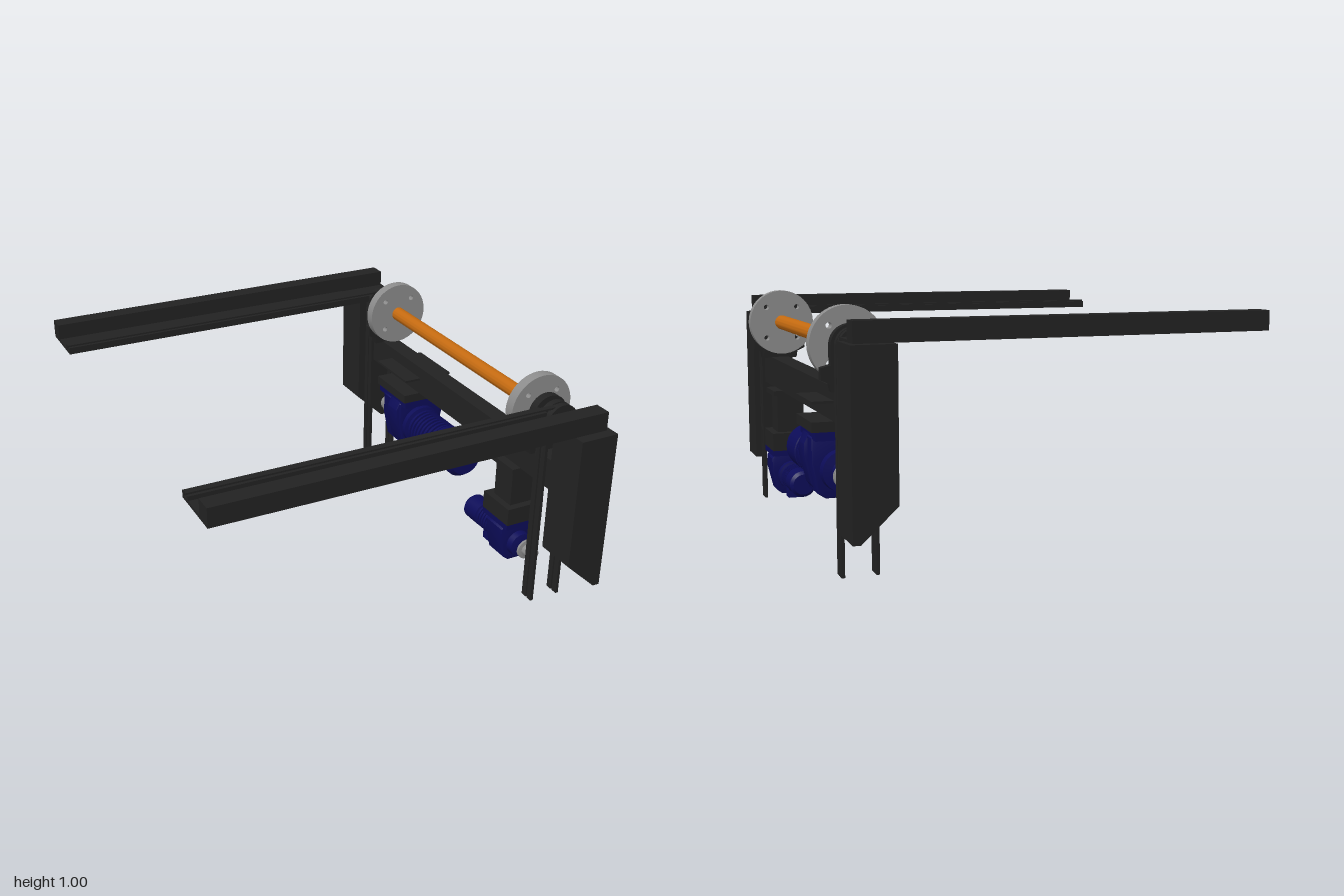
import * as THREE from 'three';
import { toCreasedNormals } from 'three/addons/utils/BufferGeometryUtils.js';

const mat = (color) => new THREE.MeshStandardMaterial({ color, side: THREE.DoubleSide });
const DARK = mat(0x222222), BLUE = mat(0x0c0c58), ORANGE = mat(0xc46a10), STEEL = mat(0x8c8c8c);
const CX = 0.73;      // centre line of the drive unit
const AXLE_Y = 0.85;

function add(parent, name, geometry, material) {
  const mesh = new THREE.Mesh(geometry, material);
  mesh.name = name;
  parent.add(mesh);
  return mesh;
}

// Box from its lower and upper limits
function box(parent, name, material, [x0, x1], [y0, y1], [z0, z1]) {
  const g = new THREE.BoxGeometry(x1 - x0, y1 - y0, Math.abs(z1 - z0));
  g.translate((x0 + x1) / 2, (y0 + y1) / 2, (z0 + z1) / 2);
  return add(parent, name, g, material);
}

// Outline in x/y extruded between two z values
function slab(parent, name, material, shape, za, zb, bevel = 0) {
  const z0 = Math.min(za, zb), z1 = Math.max(za, zb);
  const g = new THREE.ExtrudeGeometry(shape, {
    depth: z1 - z0 - 2 * bevel, curveSegments: 24, bevelEnabled: bevel > 0,
    bevelSize: bevel, bevelThickness: bevel, bevelOffset: -bevel, bevelSegments: 2,
  });
  g.translate(0, 0, z0 + bevel);
  return add(parent, name, toCreasedNormals(g, 0.5), material);
}

// Turned part about a z axis; profile of [radius, z] with z rising
function turned(parent, name, material, y, profile, segments = 32) {
  const g = new THREE.LatheGeometry(profile.map(([r, z]) => new THREE.Vector2(r, z)), segments);
  g.rotateX(Math.PI / 2);
  g.translate(CX, y, 0);
  return add(parent, name, toCreasedNormals(g, 0.5), material);
}

const rod = (parent, name, material, y, r, za, zb) => {
  const z0 = Math.min(za, zb), z1 = Math.max(za, zb);
  return turned(parent, name, material, y, [[0, z0], [r, z0], [r, z1], [0, z1]]);
};

const poly = (pts) => new THREE.Shape(pts.map(([x, y]) => new THREE.Vector2(x, y)));

// Symmetric outline given by its right half as [half width, y], bottom to top
const symmetric = (half) => poly([
  ...half.map(([w, y]) => [CX + w, y]),
  ...half.slice().reverse().map(([w, y]) => [CX - w, y]),
]);

function discShape(r, bore, holes, holeAt, holeR) {
  const s = new THREE.Shape();
  s.absarc(CX, AXLE_Y, r, 0, Math.PI * 2);
  const cut = (x, y, radius) => s.holes.push(new THREE.Path().absarc(x, y, radius, 0, Math.PI * 2, true));
  if (bore) cut(CX, AXLE_Y, bore);
  for (let i = 0; i < holes; i++) {
    const a = ((i + 0.5) / holes) * Math.PI * 2;
    cut(CX + holeAt * Math.cos(a), AXLE_Y + holeAt * Math.sin(a), holeR);
  }
  return s;
}

// Closed belt loop, straight strands hanging from the pulley
function beltShape(rOut, rIn) {
  const s = new THREE.Shape();
  s.moveTo(CX + rOut, 0);
  s.lineTo(CX + rOut, AXLE_Y);
  s.absarc(CX, AXLE_Y, rOut, 0, Math.PI);
  s.lineTo(CX - rOut, 0);
  s.lineTo(CX - rIn, 0);
  s.lineTo(CX - rIn, AXLE_Y);
  s.absarc(CX, AXLE_Y, rIn, Math.PI, 0, true);
  s.lineTo(CX + rIn, 0);
  return s;
}

function buildSide(s) {
  const g = new THREE.Group();
  g.name = s > 0 ? 'frontSide' : 'backSide';
  const z = (a, b) => [s * a, s * b];

  // Post with slanted foot
  slab(g, 'post', DARK, poly([[0.65, 0.31], [0.79, 0.18], [0.82, 0.18], [0.82, 0.88], [0.65, 0.88]]), s * 0.82, s * 1);

  // Fork rail: tall outer beam, floor plate and guide ridges
  box(g, 'railBeam', DARK, [-0.88, 0.8], [0.88, 0.96], z(0.88, 0.955));
  box(g, 'railFloor', DARK, [-0.88, 0.575], [0.88, 0.892], z(0.715, 0.88));
  box(g, 'railBridge', DARK, [0.575, 0.8], [0.88, 0.89], z(0.77, 0.88));
  for (const a of [0.715, 0.757])
    box(g, 'railRidge', DARK, [-0.88, 0.645], [0.88, 0.91], z(a, a + 0.013));
  box(g, 'railBelt', DARK, [-0.88, CX], [0.908, 0.916], z(0.732, 0.755));

  // Hoist belts and their pulleys
  for (const a of [0.703, 0.74]) {
    slab(g, 'hoistBelt', DARK, beltShape(0.073, 0.06), s * a, s * (a + 0.028));
    rod(g, 'beltPulley', DARK, AXLE_Y, 0.06, s * (a + 0.003), s * (a + 0.025));
  }

  // Bearing block standing on the cross beam
  const block = new THREE.Shape();
  block.moveTo(CX - 0.08, 0.68);
  block.lineTo(CX + 0.08, 0.68);
  block.lineTo(CX + 0.085, 0.71);
  block.lineTo(CX + 0.118, 0.725);
  block.lineTo(CX + 0.118, 0.77);
  block.lineTo(CX + 0.08, 0.78);
  block.lineTo(CX + 0.08, AXLE_Y);
  block.absarc(CX, AXLE_Y, 0.08, 0, Math.PI);
  block.lineTo(CX - 0.08, 0.78);
  block.lineTo(CX - 0.118, 0.77);
  block.lineTo(CX - 0.118, 0.725);
  block.lineTo(CX - 0.085, 0.71);
  slab(g, 'bearingBlock', DARK, block, s * 0.645, s * 0.682);

  // Drilled drive disc
  slab(g, 'driveDisc', STEEL, discShape(0.146, 0.028, 4, 0.1, 0.012), s * 0.575, s * 0.622);
  return g;
}

function buildLargeMotor() {
  const g = new THREE.Group();
  g.name = 'largeGearMotor';
  // Clamp plates on the beam
  box(g, 'clampPlate', DARK, [0.61, 0.855], [0.62, 0.63], [-0.55, -0.275]);
  box(g, 'mountBlock', DARK, [0.61, 0.855], [0.51, 0.55], [-0.545, -0.28]);
  box(g, 'gearboxFlange', BLUE, [0.62, 0.84], [0.475, 0.512], [-0.54, -0.285]);
  // Gear housing with wider belly
  slab(g, 'gearHousing', BLUE, symmetric([[0.06, 0.24], [0.09, 0.26], [0.115, 0.38], [0.115, 0.48], [0.09, 0.505]]), -0.49, -0.325, 0.008);
  slab(g, 'gearBelly', BLUE, symmetric([[0.08, 0.255], [0.105, 0.29], [0.13, 0.4], [0.13, 0.45], [0.11, 0.49]]), -0.425, -0.335, 0.006);
  turned(g, 'gearCover', BLUE, 0.35, [[0, -0.545], [0.04, -0.545], [0.045, -0.53], [0.08, -0.525], [0.085, -0.48], [0, -0.48]]);
  // Motor body with cooling bands and fan cowl
  turned(g, 'motorBody', BLUE, 0.355, [[0, -0.33], [0.1, -0.33], [0.1, -0.3], [0.082, -0.295], [0.082, -0.09],
    [0.095, -0.085], [0.095, 0.07], [0.075, 0.097], [0, 0.097]]);
  for (let i = 0; i < 8; i++) {
    const z = -0.28 + i * 0.025;
    rod(g, 'coolingFin', BLUE, 0.355, 0.092, z, z + 0.012);
  }
  box(g, 'terminalBox', BLUE, [0.68, 0.78], [0.225, 0.3], [-0.272, -0.19]);
  // Output shaft and grooved pulley
  turned(g, 'outputPulley', STEEL, 0.34, [[0, -0.65], [0.04, -0.65], [0.04, -0.605], [0.052, -0.602], [0.052, -0.59],
    [0.034, -0.588], [0.034, -0.575], [0.05, -0.573], [0.05, -0.562], [0.022, -0.56], [0.022, -0.54], [0, -0.54]]);
  return g;
}

function buildSmallMotor() {
  const g = new THREE.Group();
  g.name = 'smallGearMotor';
  // Hanger below the beam
  box(g, 'hangerFlange', DARK, [0.65, 0.81], [0.53, 0.552], [0.4, 0.572]);
  box(g, 'hangerColumn', DARK, [0.67, 0.79], [0.35, 0.54], [0.425, 0.548]);
  box(g, 'hangerFoot', DARK, [0.64, 0.82], [0.28, 0.36], [0.388, 0.58]);
  box(g, 'gearboxFlange', BLUE, [0.64, 0.82], [0.255, 0.28], [0.39, 0.578]);
  // Gear housing
  slab(g, 'gearHousing', BLUE, symmetric([[0.045, 0.075], [0.065, 0.09], [0.09, 0.19], [0.09, 0.24], [0.07, 0.27]]), 0.42, 0.545, 0.006);
  turned(g, 'gearCover', BLUE, 0.155, [[0, 0.53], [0.06, 0.53], [0.055, 0.575], [0.03, 0.582], [0, 0.582]]);
  // Motor body
  turned(g, 'motorBody', BLUE, 0.16, [[0, 0.18], [0.045, 0.18], [0.058, 0.195], [0.058, 0.285], [0.05, 0.288],
    [0.05, 0.39], [0.065, 0.393], [0.065, 0.425], [0, 0.425]]);
  for (let i = 0; i < 5; i++) {
    const z = 0.298 + i * 0.018;
    rod(g, 'coolingFin', BLUE, 0.16, 0.057, z, z + 0.009);
  }
  box(g, 'terminalBox', BLUE, [0.695, 0.765], [0.073, 0.13], [0.328, 0.39]);
  // Output pulley
  turned(g, 'outputPulley', STEEL, 0.155, [[0, 0.58], [0.018, 0.58], [0.018, 0.602], [0.045, 0.604], [0.045, 0.614],
    [0.028, 0.616], [0.028, 0.664], [0.018, 0.666], [0.018, 0.65], [0, 0.65]]);
  return g;
}

export function createModel() {
  const model = new THREE.Group();
  model.name = 'liftingFork';
  box(model, 'crossBeam', DARK, [0.69, 0.77], [0.55, 0.683], [-0.83, 0.83]);
  rod(model, 'driveShaft', ORANGE, AXLE_Y, 0.032, -0.71, 0.71);
  model.add(buildSide(1), buildSide(-1), buildLargeMotor(), buildSmallMotor());
  return model;
}
